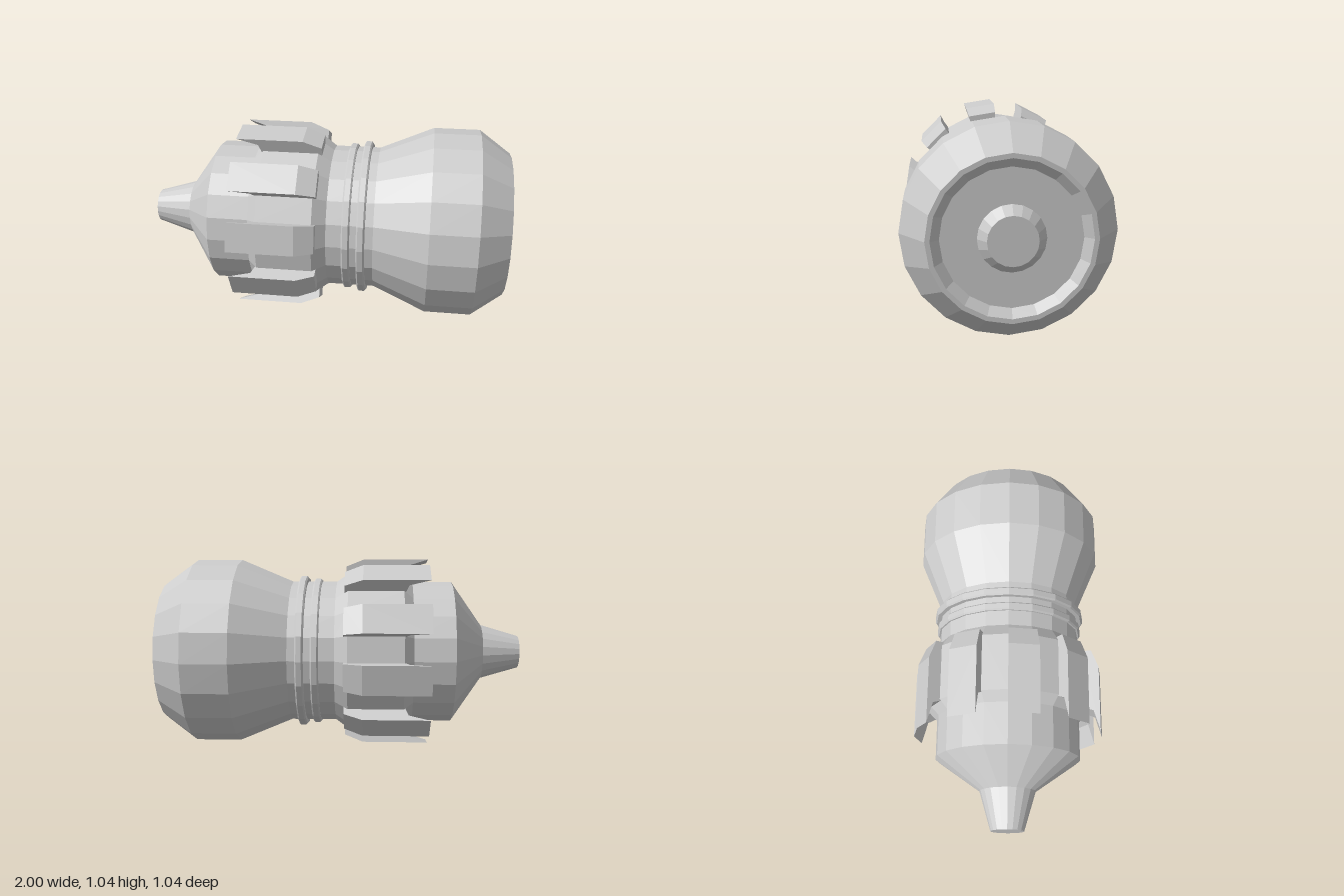
import * as THREE from 'three';

const SIDES = 20;
const STEP = (Math.PI * 2) / SIDES;
const AXIS_Y = 0.52;

const material = new THREE.MeshStandardMaterial({ color: 0xcccccc, flatShading: true });

// Faceted solid turned around the x axis from [x, radius] points
function turned(name, points) {
  const profile = points.map(([x, r]) => new THREE.Vector2(r, x));
  const geometry = new THREE.LatheGeometry(profile, SIDES);
  geometry.rotateZ(-Math.PI / 2);
  const mesh = new THREE.Mesh(geometry, material);
  mesh.name = name;
  return mesh;
}

// Side profile [x, radius] swept through one facet step around the x axis
function gripFin(profile, startAngle) {
  const shape = new THREE.Shape(profile.map(([x, r]) => new THREE.Vector2(x, r)));
  const geometry = new THREE.ExtrudeGeometry(shape, { depth: 1, steps: 1, bevelEnabled: false });
  const pos = geometry.attributes.position;
  for (let i = 0; i < pos.count; i++) {
    const r = pos.getY(i);
    const a = startAngle + pos.getZ(i) * STEP;
    pos.setXYZ(i, pos.getX(i), r * Math.cos(a), r * Math.sin(a));
  }
  geometry.computeVertexNormals();
  const mesh = new THREE.Mesh(geometry, material);
  mesh.name = 'gripFin';
  return mesh;
}

export function createModel() {
  const model = new THREE.Group();
  model.name = 'turnedCapsule';
  const body = new THREE.Group();
  body.name = 'body';
  body.position.y = AXIS_Y;
  model.add(body);

  // Tapered nozzle and its shoulder cone
  body.add(turned('nozzle', [[-1, 0], [-1, 0.09], [-0.79, 0.152]]));
  body.add(turned('shoulder', [[-0.79, 0.152], [-0.62, 0.395]]));

  // Barrel with the raised band that carries the fins
  body.add(turned('barrel', [
    [-0.62, 0.395], [-0.4, 0.395], [-0.35, 0.445], [-0.05, 0.445], [0.02, 0.395], [0.27, 0.395],
  ]));

  // Two bevelled collar rings around the neck
  for (const [x, r] of [[0.125, 0.412], [0.205, 0.427]]) {
    body.add(turned('collarRing', [
      [x - 0.022, 0.385], [x - 0.022, r - 0.008], [x - 0.014, r],
      [x + 0.014, r], [x + 0.022, r - 0.008], [x + 0.022, 0.385],
    ]));
  }

  // Flared bulb with a rim and a recessed end
  body.add(turned('bulb', [
    [0.27, 0.395], [0.56, 0.517], [0.81, 0.517], [0.98, 0.395], [0.98, 0.372], [0.945, 0.33], [0.945, 0],
  ]));
  body.add(turned('endKnob', [[0.945, 0.16], [1, 0.118], [1, 0]]));

  // Ten overhanging fins on every other facet
  const fin = [
    [-0.49, 0.52], [-0.375, 0.485], [-0.355, 0.43], [-0.03, 0.425], [-0.03, 0.48], [-0.13, 0.52],
  ];
  const fins = new THREE.Group();
  fins.name = 'gripFins';
  for (let i = 0; i < SIDES; i += 2) fins.add(gripFin(fin, i * STEP));
  body.add(fins);

  return model;
}
